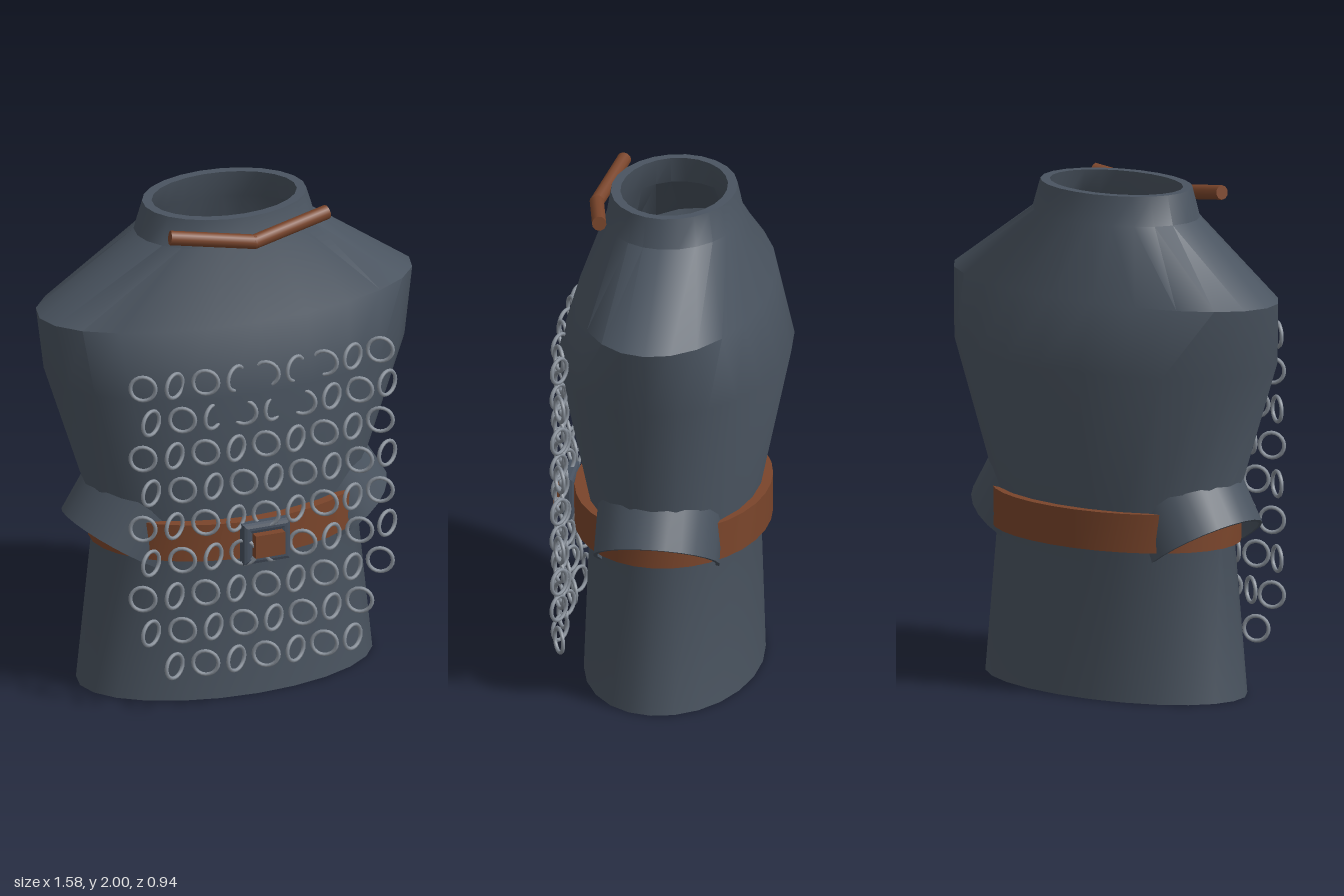
import * as THREE from 'three';
import { toCreasedNormals } from 'three/addons/utils/BufferGeometryUtils.js';

const material = (name, color) => {
  const m = new THREE.MeshStandardMaterial({ color });
  m.name = name;
  return m;
};

// Closed shell from elliptical sections [y, half width, front depth, back depth]
function shell(outer, wall, segments = 24) {
  const inner = outer.map(([y, w, f, b]) => [y, w - wall, f - wall, b - wall]).reverse();
  const sections = [...outer, ...inner, outer[0]];
  const pos = [], index = [];
  for (const [y, w, f, b] of sections) {
    for (let j = 0; j < segments; j++) {
      const a = (j / segments) * Math.PI * 2, c = Math.cos(a);
      pos.push(w * Math.sin(a), y, c * (c > 0 ? f : b));
    }
  }
  for (let i = 0; i < sections.length - 1; i++) {
    for (let j = 0; j < segments; j++) {
      const a = i * segments + j, b = i * segments + (j + 1) % segments;
      index.push(a, b, b + segments, a, b + segments, a + segments);
    }
  }
  const g = new THREE.BufferGeometry();
  g.setAttribute('position', new THREE.Float32BufferAttribute(pos, 3));
  g.setIndex(index);
  return toCreasedNormals(g, 0.6);
}

function rectangle(Type, w, h) {
  const s = new Type();
  s.moveTo(-w, -h);
  s.lineTo(w, -h);
  s.lineTo(w, h);
  s.lineTo(-w, h);
  s.closePath();
  return s;
}

export function createModel() {
  const model = new THREE.Group();
  const cloth = material('slate cloth', 0x4a5460);
  const leather = material('brown leather', 0x7a452b);
  const steel = material('ring steel', 0x88909a);
  const iron = material('buckle iron', 0x46505e);

  const add = (name, geometry, mat, parent = model) => {
    const mesh = new THREE.Mesh(geometry, mat);
    mesh.name = name;
    parent.add(mesh);
    return mesh;
  };

  // Tunic body, from hem to collar
  add('tunic', shell([
    [0, 0.615, 0.345, 0.355],
    [0.7, 0.54, 0.32, 0.335],
    [1.33, 0.745, 0.45, 0.468],
    [1.6, 0.788, 0.37, 0.39],
    [1.885, 0.37, 0.265, 0.275],
    [2, 0.335, 0.245, 0.25],
  ], 0.038), cloth);

  // Short sleeves leaning in through the waist
  for (const side of [-1, 1]) {
    const sleeve = add(side > 0 ? 'leftSleeve' : 'rightSleeve',
      shell([[0, 0.25, 0.25, 0.25], [0.55, 0.245, 0.245, 0.245]], 0.015), cloth);
    sleeve.position.set(side * 0.457, 0.6, 0);
    sleeve.rotation.z = side * 0.545;
  }

  // Belt
  add('belt', shell([[0.605, 0.56, 0.385, 0.387], [0.76, 0.56, 0.385, 0.387]], 0.05, 32), leather);

  // Buckle: bevelled frame around a leather plate
  const frame = rectangle(THREE.Shape, 0.085, 0.07);
  frame.holes.push(rectangle(THREE.Path, 0.075, 0.06));
  const buckle = new THREE.Group();
  buckle.name = 'buckle';
  buckle.position.set(0, 0.682, 0.4);
  model.add(buckle);
  add('buckleFrame', new THREE.ExtrudeGeometry(frame, {
    depth: 0.025, bevelEnabled: true, bevelSize: 0.017, bevelThickness: 0.015, bevelSegments: 2,
  }), iron, buckle);
  add('bucklePlate', new THREE.BoxGeometry(0.125, 0.095, 0.09), leather, buckle).position.z = 0.025;

  // Neck cord: two straight rods meeting at the front
  const knot = new THREE.Vector3(0, 1.917, 0.305);
  for (const side of [-1, 1]) {
    const end = new THREE.Vector3(side * 0.335, 1.966, 0.246);
    const dir = end.clone().sub(knot);
    const rod = add(side > 0 ? 'leftCord' : 'rightCord',
      new THREE.CylinderGeometry(0.029, 0.029, dir.length(), 10), leather);
    rod.position.copy(knot).addScaledVector(dir, 0.5);
    rod.quaternion.setFromUnitVectors(new THREE.Vector3(0, 1, 0), dir.normalize());
  }
  add('cordJoint', new THREE.SphereGeometry(0.029, 12, 8), leather).position.copy(knot);

  // Mail rings on the chest, turned alternately left and right
  const mail = new THREE.Group();
  mail.name = 'mailRings';
  model.add(mail);
  const ring = new THREE.TorusGeometry(0.05, 0.008, 6, 20);
  for (let row = 0; row < 9; row++) {
    const first = row === 8 ? 1 : 0, last = row >= 7 ? 7 : 8;
    for (let col = first; col <= last; col++) {
      const x = (col - 4) * 0.1265 + (row % 2) * 0.032;
      const link = add('mailRing', ring, steel, mail);
      link.position.set(x, 1.4 - row * 0.15, 0.425 - 0.18 * x * x);
      link.rotation.y = (row + col) % 2 ? 0.48 : -0.48;
    }
  }
  return model;
}
